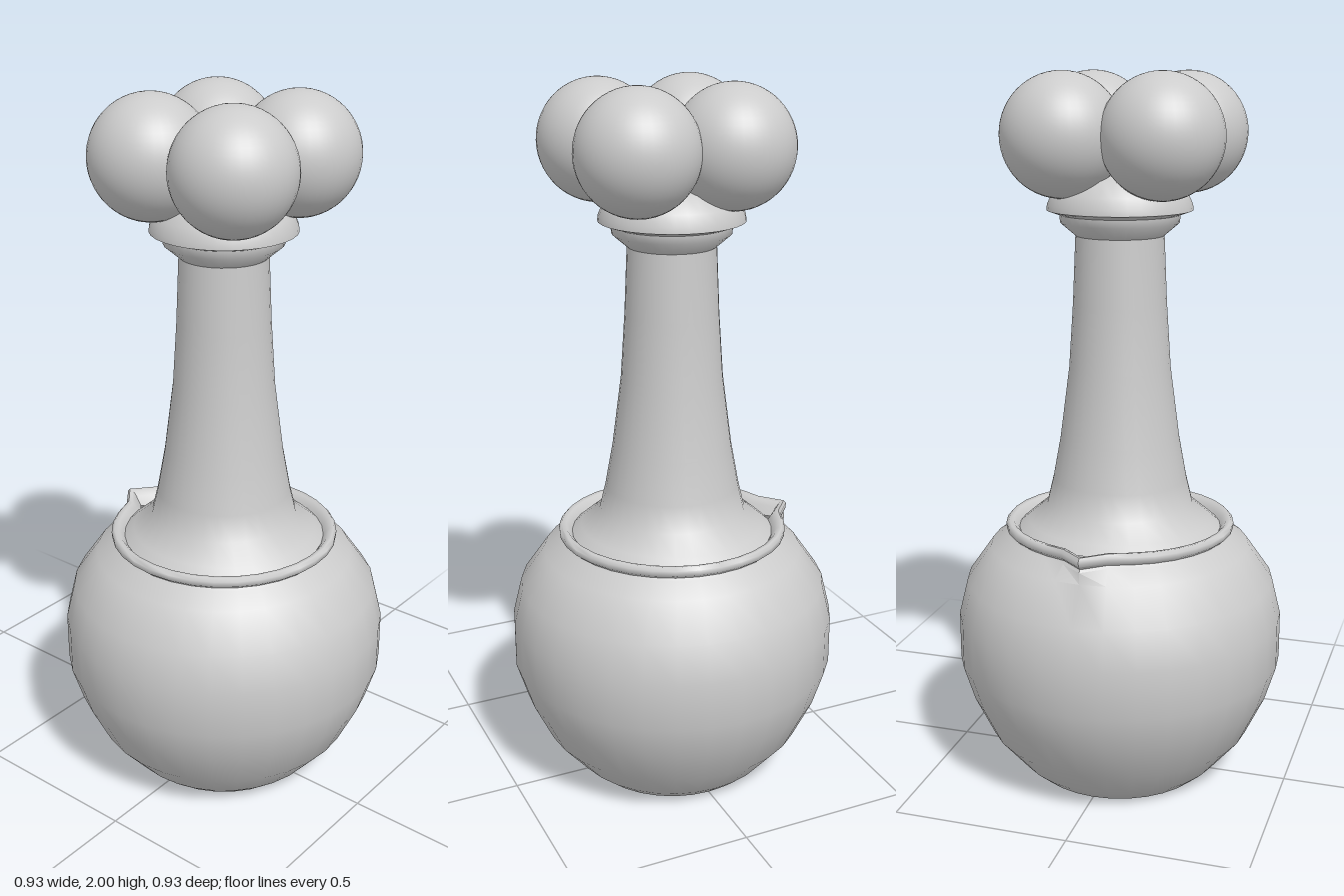
import * as THREE from 'three';
import { toCreasedNormals } from 'three/addons/utils/BufferGeometryUtils.js';

const SEGMENTS = 32;

function lathe(points) {
  return new THREE.LatheGeometry(points.map(([r, y]) => new THREE.Vector2(r, y)), SEGMENTS);
}

// Pull the rim out into a small pointed pouring lip on the -x side.
function pinchLip(geometry) {
  const pos = geometry.attributes.position;
  for (let i = 0; i < pos.count; i++) {
    const x = pos.getX(i), y = pos.getY(i), z = pos.getZ(i);
    const r = Math.hypot(x, z);
    if (y < 0.7 || r < 0.27) continue;
    const angle = Math.abs(Math.atan2(z, -x));
    const pull = 0.05 * Math.max(0, 1 - angle / 0.21);
    pos.setX(i, x * (1 + pull / r));
    pos.setZ(i, z * (1 + pull / r));
  }
  return geometry;
}

export function createModel() {
  const group = new THREE.Group();
  const material = new THREE.MeshStandardMaterial({ color: 0xcccccc, side: THREE.DoubleSide });
  const add = (name, geometry) => {
    const mesh = new THREE.Mesh(geometry, material);
    mesh.name = name;
    group.add(mesh);
    return mesh;
  };

  // Round bowl with a rolled rim
  const bowl = pinchLip(lathe([
    [0, 0], [0.26, 0], [0.30, 0.035], [0.38, 0.13], [0.435, 0.245], [0.466, 0.345],
    [0.466, 0.48], [0.44, 0.585], [0.37, 0.685], [0.32, 0.718], [0.313, 0.725],
    [0.325, 0.735], [0.326, 0.75], [0.318, 0.759], [0.305, 0.757], [0.292, 0.742],
    [0.275, 0.715],
  ]));
  add('bowl', toCreasedNormals(bowl, 1.0));

  // Flared, tapering stem with a collar and cap
  const stem = lathe([
    [0.29, 0.735], [0.262, 0.76], [0.208, 0.805], [0.19, 0.88], [0.168, 1.0], [0.142, 1.2],
    [0.13, 1.38], [0.122, 1.565], [0.163, 1.6], [0.165, 1.622], [0.2, 1.634],
    [0.198, 1.65], [0.185, 1.68], [0.15, 1.72], [0, 1.75],
  ]);
  add('stem', toCreasedNormals(stem, 0.9));

  // Cluster of four balls on top
  const ball = new THREE.SphereGeometry(0.165, 40, 28);
  for (const x of [-0.12, 0.15]) {
    for (const z of [-0.123, 0.15]) {
      add('ball', ball).position.set(x, 1.835, z);
    }
  }

  return group;
}
